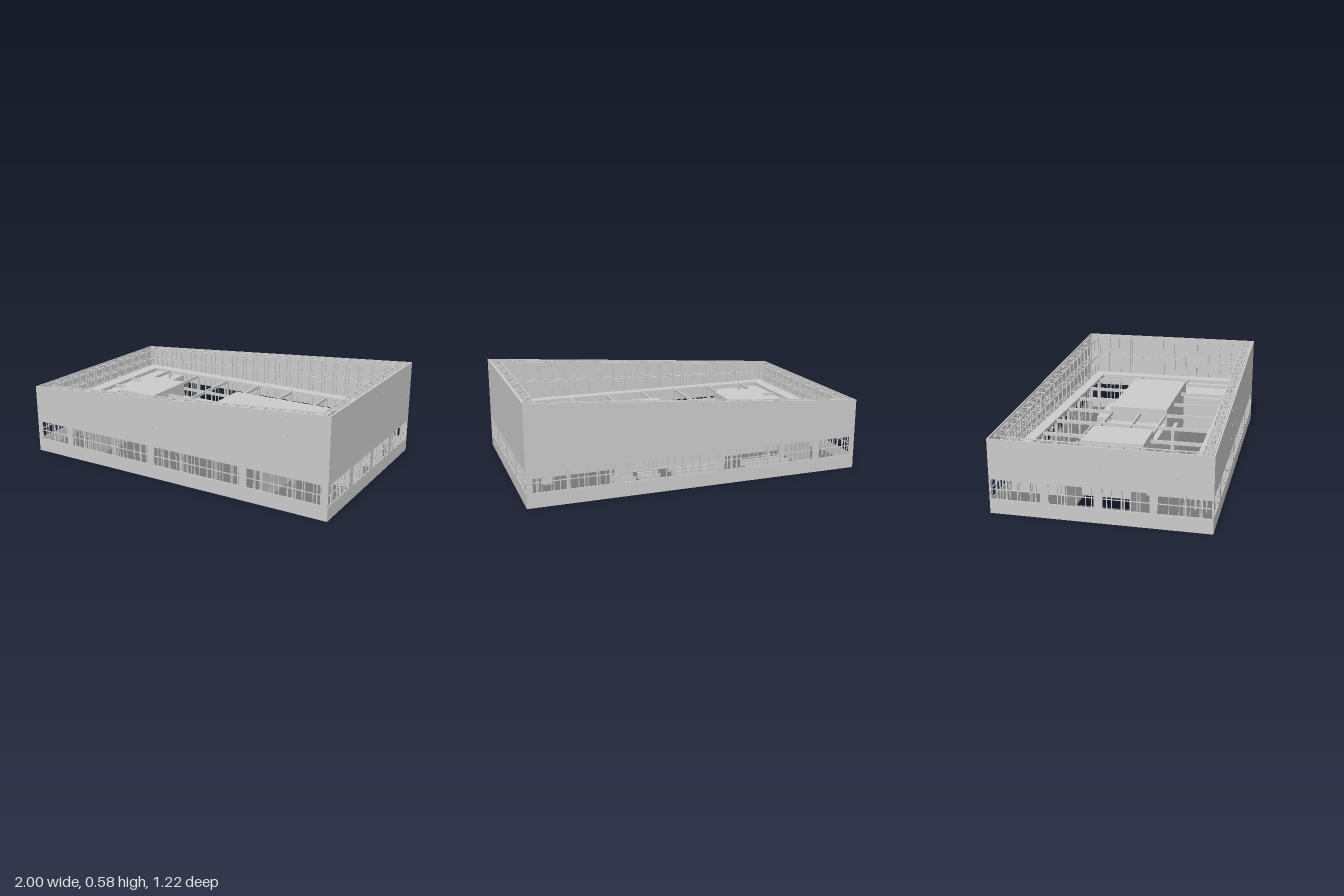
import * as THREE from 'three';
import { mergeGeometries } from 'three/addons/utils/BufferGeometryUtils.js';

const W = 1, D = 0.608, T = 0.008;         // half width, half depth, wall thickness
const RING_Y = 0.31;                       // level of the inner roof
const CEIL_Y = 0.24;                       // level of the low ceilings
const roofY = (x) => 0.5025 + 0.0775 * x;  // sloping top of the outer wall

const grey = new THREE.MeshStandardMaterial({ color: 0xcccccc, side: THREE.DoubleSide });
const dark = new THREE.MeshStandardMaterial({ color: 0x777777 });

// Box from min/max corners
function block(x0, x1, y0, y1, z0, z1) {
  return new THREE.BoxGeometry(x1 - x0, y1 - y0, z1 - z0)
    .translate((x0 + x1) / 2, (y0 + y1) / 2, (z0 + z1) / 2);
}

// Square bar between two points
function bar(a, b, w = 0.006) {
  const p = new THREE.Vector3(...a), q = new THREE.Vector3(...b);
  const m = new THREE.Matrix4();
  const up = Math.abs(q.y - p.y) > 0.9 * p.distanceTo(q)
    ? new THREE.Vector3(1, 0, 0) : new THREE.Vector3(0, 1, 0);
  m.lookAt(p, q, up).setPosition(p.clone().lerp(q, 0.5));
  return new THREE.BoxGeometry(w, w, p.distanceTo(q)).applyMatrix4(m);
}

function path(points, Type = THREE.Shape) {
  return new Type(points.map((p) => new THREE.Vector2(p[0], p[1])));
}
const rect = (a, b, c, d) => [[a, c], [b, c], [b, d], [a, d]];

// Wall in the xy plane with a window band, extruded inward
function wallGeometry(outline, windows) {
  const shape = path(outline);
  for (const [a, b] of windows) shape.holes.push(path(rect(a, b, 0.08, 0.2), THREE.Path));
  return new THREE.ExtrudeGeometry(shape, { depth: T, bevelEnabled: false });
}

// Mullions and transoms filling the window openings
function windowBars(windows) {
  const parts = [];
  for (const [a, b] of windows) {
    const n = Math.max(2, Math.round((b - a) / 0.053));
    for (let i = 0; i <= n; i++) {
      const x = a + ((b - a) * i) / n;
      parts.push(block(x - 0.002, x + 0.002, 0.08, 0.2, 0.001, 0.006));
    }
    for (const y of [0.082, 0.14, 0.198]) parts.push(block(a, b, y - 0.002, y + 0.002, 0.001, 0.006));
  }
  return mergeGeometries(parts);
}

// Panel joints and rows of small fixing slots on a wall face
function facadeMarks(half, topAt, seams) {
  const parts = [];
  for (const x of seams) parts.push(block(x - 0.002, x + 0.002, 0.2, topAt(x), T - 0.002, T + 0.0004));
  for (let y = 0.25; y < 0.57; y += 0.065) {
    for (let x = -half + 0.05; x < half; x += 0.085) {
      if (y < topAt(x) - 0.02) parts.push(block(x - 0.004, x + 0.004, y - 0.001, y + 0.001, T - 0.002, T + 0.0004));
    }
  }
  return mergeGeometries(parts);
}

// Space frame behind a wall; at(s, d, y) maps run, depth and height to a point
function trussGeometry(half, topAt, at) {
  const parts = [], n = Math.round((2 * half) / 0.085), step = (2 * half) / n;
  const inner = 0.07, outer = 0.016;
  for (const f of [0, 0.5, 1]) {
    const level = (s) => RING_Y - 0.02 + f * (topAt(s) - 0.01 - RING_Y + 0.02);
    for (const d of [outer, inner]) parts.push(bar(at(-half, d, level(-half)), at(half, d, level(half))));
    for (let i = 0; i < n; i++) {
      const s = -half + i * step, e = s + step;
      const [d0, d1] = i % 2 ? [inner, outer] : [outer, inner];
      parts.push(bar(at(s, d0, level(s)), at(e, d1, level(e)), 0.004));
      parts.push(bar(at(s, outer, level(s)), at(s, inner, level(s)), 0.005));
    }
  }
  for (let i = 0; i <= n; i++) {
    const s = -half + i * step;
    parts.push(bar(at(s, outer, 0.01), at(s, outer, topAt(s) - 0.01), 0.005));
    parts.push(bar(at(s, inner, i % 2 ? RING_Y : 0.01), at(s, inner, topAt(s) - 0.01), 0.007));
  }
  return mergeGeometries(parts);
}

export function createModel() {
  const model = new THREE.Group();
  const add = (name, geometry, material = grey, parent = model) => {
    const mesh = new THREE.Mesh(geometry, material);
    mesh.name = name;
    parent.add(mesh);
  };

  // Outer walls: the back wall mirrors the front, with the slope kept along x
  const longWindows = [[-0.97, -0.76], [-0.72, -0.145], [-0.105, 0.47], [0.51, 0.965]];
  const sideWindows = [[-0.6, -0.32], [-0.275, -0.02], [0.02, 0.275], [0.315, 0.6]];
  for (const k of [1, -1]) {
    const wall = new THREE.Group();
    wall.name = k > 0 ? 'frontWall' : 'backWall';
    const top = (x) => roofY(k * x);
    const wins = longWindows.map(([a, b]) => (k > 0 ? [a, b] : [-b, -a]));
    add('wallPanel', wallGeometry([[-W, 0], [W, 0], [W, top(W)], [-W, top(-W)]], wins), grey, wall);
    add('windowFrames', windowBars(wins), grey, wall);
    add('facadeJoints', facadeMarks(W, top, [-0.27, -0.107, 0.755]), grey, wall);
    wall.position.z = k * (D - T);
    wall.rotation.y = k > 0 ? 0 : Math.PI;
    model.add(wall);
    add('longTruss', trussGeometry(0.93, roofY, (s, d, y) => [s, y, k * (D - d)]));
  }
  for (const k of [1, -1]) {
    const wall = new THREE.Group();
    wall.name = k > 0 ? 'leftWall' : 'rightWall';
    const h = roofY(k);
    add('wallPanel', wallGeometry(rect(-D, D, 0, h), sideWindows), grey, wall);
    add('windowFrames', windowBars(sideWindows), grey, wall);
    add('facadeJoints', facadeMarks(D, () => h, [0.02, 0.41]), grey, wall);
    wall.position.x = k * (W - T);
    wall.rotation.y = (k * Math.PI) / 2;
    model.add(wall);
    add('sideTruss', trussGeometry(0.535, () => h, (s, d, y) => [k * (W - d), y, s]));
  }

  // Flat slab with a rectangular opening (shape y runs toward the back)
  const slab = (outer, inner, y, t) => {
    const shape = path(rect(...outer));
    shape.holes.push(path(rect(...inner), THREE.Path));
    return new THREE.ExtrudeGeometry(shape, { depth: t, bevelEnabled: false })
      .rotateX(-Math.PI / 2).translate(0, y, 0);
  };
  add('baseSlab', slab([-0.995, 0.995, -0.603, 0.603], [-0.85, 0.85, -0.175, 0.19], 0, 0.006), dark);
  add('openingLip', slab([-0.995, 0.995, -0.603, 0.603], [-0.82, 0.82, -0.145, 0.175], 0.006, 0.006), dark);
  add('roofRing', slab([-0.93, 0.93, -0.535, 0.535], [-0.85, 0.85, -0.47, 0.47], RING_Y - 0.02, 0.02));

  // Roof beams and their columns
  const beams = [], columns = [];
  for (const x of [-0.74, -0.495, -0.25, -0.005, 0.24, 0.495, 0.735]) {
    beams.push(block(x - 0.006, x + 0.006, 0.288, 0.308, -0.53, 0.53));
    for (const z of [-0.475, 0.475]) columns.push(block(x - 0.006, x + 0.006, 0.01, 0.29, z - 0.006, z + 0.006));
  }
  for (const z of [-0.18, 0, 0.16]) beams.push(block(-0.85, 0.85, 0.289, 0.307, z - 0.005, z + 0.005));
  add('roofBeams', mergeGeometries(beams));
  add('columns', mergeGeometries(columns));

  // Core rooms: thin walls and a roof, open below over the floor opening
  const room = (name, x0, x1, z0, z1, h, partitions = []) => {
    const t = 0.006;
    add(name, mergeGeometries([
      block(x0, x1, h - t, h, z0, z1),
      block(x0, x1, 0.012, h - t, z0, z0 + t), block(x0, x1, 0.012, h - t, z1 - t, z1),
      ...[x0, x1 - t, ...partitions].map((x) => block(x, x + t, 0.012, h - t, z0 + t, z1 - t)),
    ]));
  };
  room('smallCore', -0.685, -0.415, -0.185, 0.172, 0.342);
  room('largeCore', -0.01, 0.685, -0.19, 0.172, 0.338, [0.4]);
  room('rearAnnex', -0.04, 0.39, -0.275, -0.19, 0.27);

  // Low ceilings over the corner rooms, the ends and the gap between the cores
  add('lowCeilings', mergeGeometries([
    [-0.99, -0.7, -0.6, -0.19], [-0.99, -0.6, 0.172, 0.6], [0.6, 0.99, 0.172, 0.6],
    [-0.99, -0.685, -0.19, 0.172], [0.685, 0.99, -0.19, 0.172], [-0.415, -0.01, -0.19, 0.172],
  ].map(([x0, x1, z0, z1]) => block(x0, x1, CEIL_Y, CEIL_Y + 0.006, z0, z1))));

  // Partitions carrying those ceilings
  add('partitions', mergeGeometries([
    [-0.706, -0.7, -0.6, -0.19], [-0.606, -0.6, 0.172, 0.6], [0.6, 0.606, 0.172, 0.6],
    [-0.99, -0.685, -0.19, -0.184], [0.685, 0.99, -0.19, -0.184], [-0.415, -0.01, -0.19, -0.184],
    [-0.99, -0.6, 0.166, 0.172], [0.6, 0.99, 0.166, 0.172], [-0.415, -0.01, 0.166, 0.172],
    [-0.25, -0.244, -0.184, 0.166], [0.76, 0.766, -0.184, 0],
  ].map(([x0, x1, z0, z1]) => block(x0, x1, 0.012, CEIL_Y, z0, z1))));

  // Small cabinets, a screen wall and rows of low benches on the floor
  const fittings = [
    block(-0.685, -0.655, 0.01, 0.2, -0.32, -0.29), block(0.795, 0.85, 0.01, 0.2, -0.31, -0.26),
    block(0.935, 0.965, 0.01, 0.2, -0.265, -0.235), block(0.03, 0.175, 0.01, 0.2, 0.19, 0.212),
    block(-0.25, 0.1, 0.01, 0.16, -0.34, -0.328),
  ];
  for (const z of [-0.45, -0.39]) {
    for (const [a, b] of [[-0.64, -0.35], [-0.2, 0.1], [0.19, 0.31], [0.34, 0.46]]) {
      fittings.push(block(a, b, 0.01, 0.05, z - 0.006, z + 0.006));
    }
  }
  add('fittings', mergeGeometries(fittings));

  return model;
}
